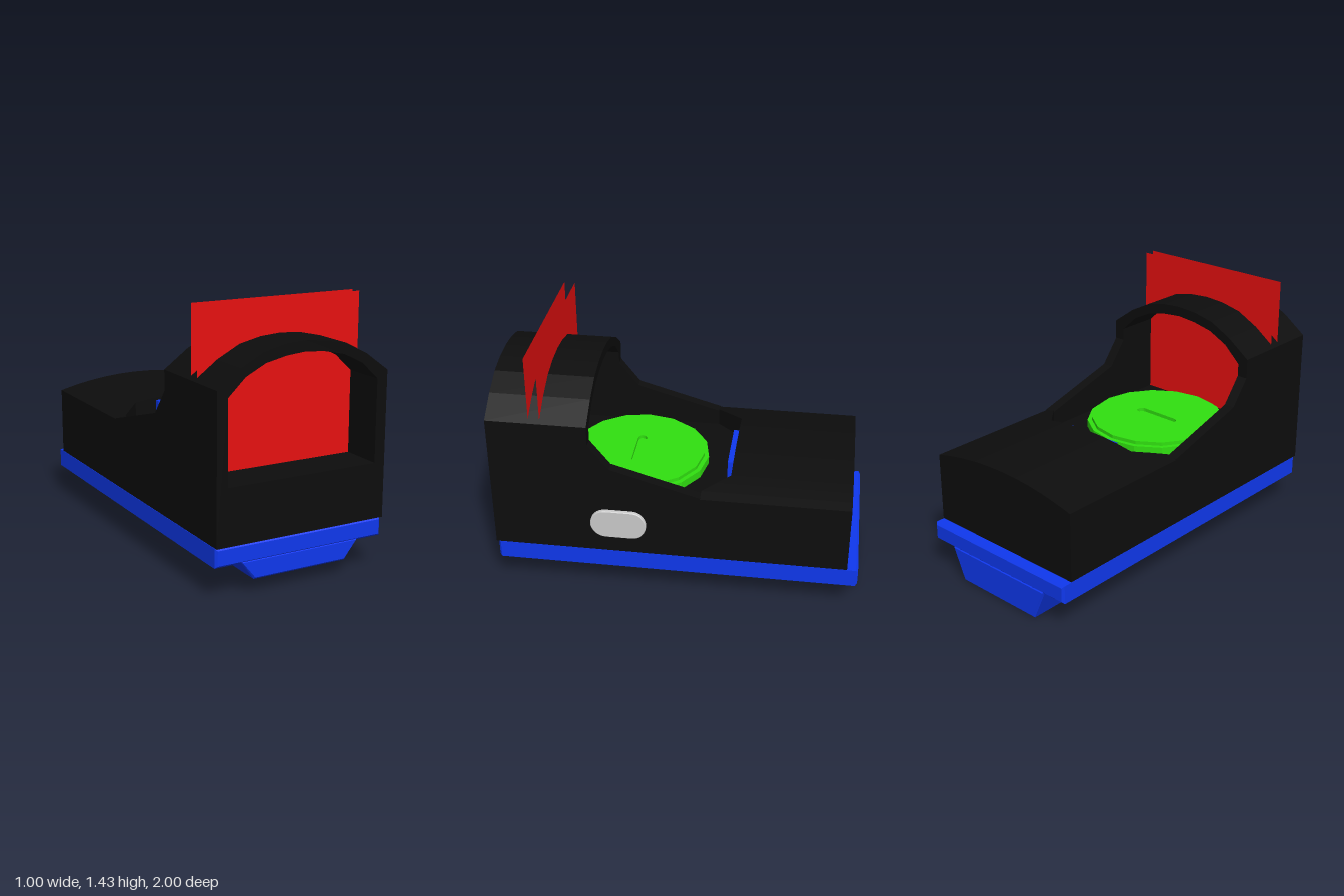
import * as THREE from 'three';

const mat = (color) => new THREE.MeshStandardMaterial({ color, flatShading: true });
const V = (pts) => pts.map(([x, y]) => new THREE.Vector2(x, y));

// Symmetric outline from its right half, listed from bottom to top centre
const mirrored = (half) => V([...half, ...half.slice(0, -1).reverse().map(([x, y]) => [-x, y])]);

// Stadium outline: half straight length h, radius r
function stadium(Type, h, r) {
  const s = new Type();
  s.absarc(h, 0, r, -Math.PI / 2, Math.PI / 2, false);
  s.absarc(-h, 0, r, Math.PI / 2, Math.PI * 1.5, false);
  s.closePath();
  return s;
}

// Extrusion from z0 to z1 with an optional chamfer b kept inside the outline
function extrude(shape, z0, z1, b = 0) {
  const g = new THREE.ExtrudeGeometry(shape, {
    depth: z1 - z0 - 2 * b, curveSegments: 8, bevelEnabled: b > 0,
    bevelSize: b, bevelOffset: -b, bevelThickness: b, bevelSegments: 1,
  });
  return g.translate(0, 0, z0 + b);
}

// Closed solid through four-point sections ordered along +x
function loft(sections) {
  const out = [];
  const tri = (...p) => p.forEach((q) => out.push(...q));
  for (let i = 0; i < sections.length - 1; i++) {
    const A = sections[i], B = sections[i + 1];
    for (let k = 0; k < 4; k++) {
      const n = (k + 1) % 4;
      tri(A[k], B[k], B[n]);
      tri(A[k], B[n], A[n]);
    }
  }
  const F = sections[0], L = sections[sections.length - 1];
  tri(F[0], F[1], F[2]); tri(F[0], F[2], F[3]);
  tri(L[0], L[2], L[1]); tri(L[0], L[3], L[2]);
  const g = new THREE.BufferGeometry();
  g.setAttribute('position', new THREE.Float32BufferAttribute(out, 3));
  g.computeVertexNormals();
  return g;
}

export function createModel() {
  const model = new THREE.Group();
  model.name = 'reflexSight';
  const black = mat(0x0d0d0d), blue = mat(0x0f38ee), green = mat(0x30e010), grey = mat(0xcccccc);
  const red = mat(0xe81010);
  red.side = THREE.DoubleSide;
  const add = (name, geometry, material) => {
    const m = new THREE.Mesh(geometry, material);
    m.name = name;
    m.position.x = -0.01;
    model.add(m);
    return m;
  };

  // Arched window frame
  const frame = new THREE.Shape(mirrored([
    [0.49, 0.28], [0.49, 1.06], [0.36, 1.155], [0.235, 1.22], [0.115, 1.247], [0, 1.255]]));
  frame.holes.push(new THREE.Path(mirrored([
    [0.43, 0.58], [0.43, 1.02], [0.335, 1.11], [0.225, 1.165], [0.11, 1.19], [0, 1.2]])));
  add('windowFrame', extrude(frame, 0.46, 1), black);

  // Sloping side walls (outline drawn in z, y)
  const wall = new THREE.Shape(V([
    [-0.14, 0.28], [0.46, 0.28], [0.46, 0.95], [0.35, 0.81], [-0.14, 0.67]]));
  for (const [name, x] of [['leftWall', 0.49], ['rightWall', -0.43]]) {
    add(name, extrude(wall, 0, 0.06).rotateY(-Math.PI / 2).translate(x, 0, 0), black);
  }

  // Pocket floor
  add('pocketFloor', new THREE.BoxGeometry(0.86, 0.3, 0.76).translate(0, 0.43, 0.08), black);

  // Crowned rear deck whose front edge forms the chamfered pocket end
  const xs = [0, 0.1, 0.2, 0.3, 0.365, 0.43, 0.49];
  const deckX = [...xs.slice(1).reverse().map((x) => -x), ...xs];
  add('rearDeck', loft(deckX.map((x) => {
    const a = Math.abs(x);
    const y = 0.665 + 0.065 * (1 - (x / 0.49) ** 2);
    const z = -0.285 + 0.145 * THREE.MathUtils.clamp((a - 0.3) / 0.13, 0, 1);
    return [[x, 0.28, z], [x, y, z], [x, y, -0.94], [x, 0.28, -0.94]];
  })), black);

  // Two thin lens panes
  for (const [name, z] of [['frontLens', 0.77], ['rearLens', 0.71]]) {
    add(name, new THREE.PlaneGeometry(0.94, 0.85).translate(0, 1.005, z), red);
  }

  // Battery cap: lower rim and slotted lid
  add('capRim', new THREE.CylinderGeometry(0.4, 0.4, 0.045, 16).translate(0, 0.6025, 0.27), green);
  const lid = new THREE.Shape(V(Array.from({ length: 16 }, (_, i) => {
    const t = (i * Math.PI) / 8;
    return [0.375 * Math.cos(t), 0.375 * Math.sin(t)];
  })));
  lid.holes.push(stadium(THREE.Path, 0.11, 0.028));
  add('capLid', extrude(lid, 0, 0.02).rotateX(-Math.PI / 2).translate(0, 0.625, 0.27), green);

  // Light emitter on the rear wall of the pocket
  add('emitter', new THREE.BoxGeometry(0.34, 0.13, 0.035).translate(0, 0.64, -0.27), blue);

  // Side button
  add('sideButton', extrude(stadium(THREE.Shape, 0.07, 0.085), 0, 0.03, 0.004)
    .rotateY(Math.PI / 2).translate(0.48, 0.467, 0.305), grey);

  // Mounting plate and its two tapered lugs
  const plate = new THREE.Shape(V([[-0.49, 0.175], [0.49, 0.175], [0.49, 0.278], [-0.49, 0.278]]));
  add('mountingPlate', extrude(plate, -1, 0.99, 0.012), blue);
  for (const [name, y, z0, z1] of [['frontLug', 0.08, 0.69, 0.99], ['rearLug', 0, -1, -0.79]]) {
    const lug = new THREE.Shape(V([[-0.27, y], [0.27, y], [0.35, 0.185], [-0.35, 0.185]]));
    add(name, extrude(lug, z0, z1, 0.01), blue);
  }
  return model;
}
